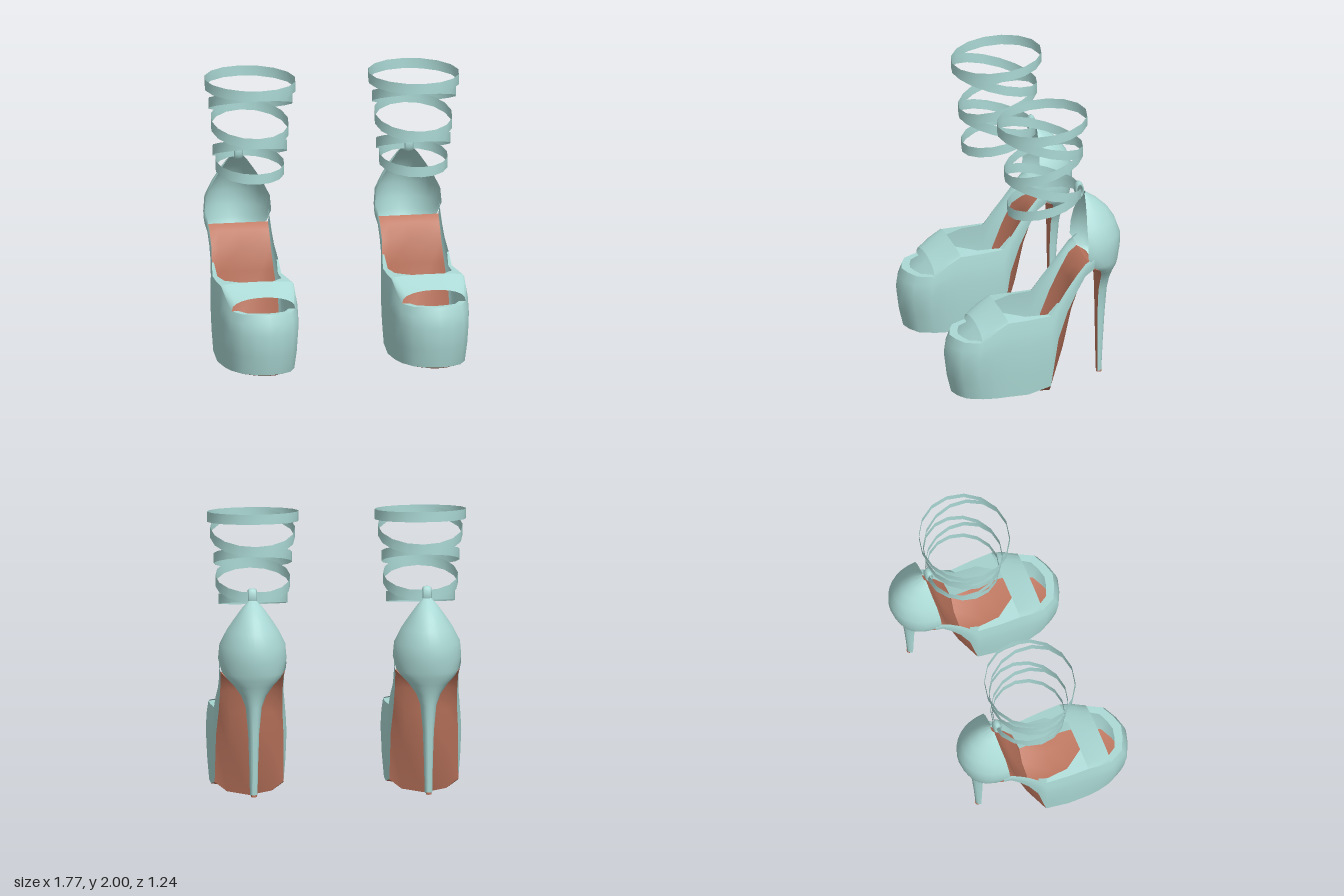
import * as THREE from 'three';
import { toCreasedNormals } from 'three/addons/utils/BufferGeometryUtils.js';

const teal = new THREE.MeshStandardMaterial({ color: 0xabd9d5, side: THREE.DoubleSide });
teal.name = 'pale teal leather';
const brown = new THREE.MeshStandardMaterial({ color: 0xbe765e, side: THREE.DoubleSide });
brown.name = 'terracotta sole';

// Surface through rows of points; every row has the same length
function loft(name, rows, material, crease = 0.7) {
  const n = rows[0].length, index = [];
  for (let r = 0; r < rows.length - 1; r++) {
    for (let i = 0; i < n - 1; i++) {
      const a = r * n + i, b = a + n;
      index.push(a, a + 1, b, a + 1, b + 1, b);
    }
  }
  const geo = new THREE.BufferGeometry();
  geo.setAttribute('position', new THREE.Float32BufferAttribute(rows.flat(2), 3));
  geo.setIndex(index);
  const mesh = new THREE.Mesh(toCreasedNormals(geo, crease), material);
  mesh.name = name;
  return mesh;
}

// Half outline of the upper, from heel to toe: x, z, bottom y, top y
const outline = [
  [0.230, -0.38, 0.912, 1.00], [0.224, -0.32, 0.865, 0.955], [0.222, -0.26, 0.755, 0.88],
  [0.226, -0.19, 0.61, 0.785], [0.240, -0.125, 0.43, 0.695], [0.256, -0.07, 0.09, 0.61],
  [0.268, 0.10, 0.05, 0.60], [0.270, 0.25, 0.05, 0.595], [0.262, 0.34, 0.045, 0.54],
  [0.237, 0.44, 0.04, 0.455], [0.180, 0.55, 0.035, 0.45], [0.090, 0.595, 0.03, 0.45],
  [0, 0.62, 0.03, 0.45],
];
// Wall bulge: height fraction and scale
const bulge = [[0, 0.92], [0.3, 0.97], [0.65, 1], [0.85, 0.98], [1, 0.94]];

// The bulge is halved along the arch
function wallPoint([x, z, yb, yt], t, s, side = 1) {
  const sx = z < -0.1 ? (1 + s) / 2 : s;
  return [side * x * sx, yb + (yt - yb) * t, z > 0 ? z * s : z];
}

function upper() {
  const g = new THREE.Group();
  g.name = 'upper';
  const full = [
    ...outline.map((p) => [p, 1]),
    ...outline.slice(0, -1).reverse().map((p) => [p, -1]),
  ];
  g.add(loft('platformWall', bulge.map(([t, s]) => full.map(([p, d]) => wallPoint(p, t, s, d))), teal));

  // Rim around the front of the toe opening
  const rim = full.filter(([p]) => p[1] >= 0.44).map(([p, d]) => wallPoint(p, 1, 0.94, d));
  g.add(loft('toeRim', [rim, rim.map(([x, y, z]) => [x * 0.78, y, 0.41 + (z - 0.41) * 0.65])], teal));

  // Band over the foot, between the side walls
  const crown = [0.617, 0.58, 0.54];
  const rows = outline.slice(7, 10).map((p, k) => {
    const [w, y, z] = wallPoint(p, 1, 0.94);
    return Array.from({ length: 13 }, (_, i) => {
      const a = (i / 12) * Math.PI;
      return [w * Math.cos(a), y + (crown[k] - y) * Math.pow(Math.sin(a), 0.8), z];
    });
  });
  g.add(loft('vamp', rows, teal));

  // Collar turning inward at each side of the foot opening
  const inner = [[0.22, 0.695, -0.12], [0.212, 0.612, -0.05], [0.20, 0.608, 0.10], [0.105, 0.615, 0.24]];
  for (const d of [1, -1]) {
    const outer = outline.slice(4, 8).map((p) => wallPoint(p, 1, 0.94, d));
    g.add(loft('collar', [outer, inner.map(([x, y, z]) => [d * x, y, z])], teal));
  }
  return g;
}

// Heel sections: y, half width, back z, front z
const heelLevels = [
  [0.07, 0.026, -0.492, -0.46], [0.30, 0.031, -0.503, -0.457], [0.50, 0.038, -0.515, -0.455],
  [0.68, 0.055, -0.53, -0.457], [0.76, 0.085, -0.545, -0.46], [0.83, 0.135, -0.568, -0.455],
  [0.88, 0.185, -0.59, -0.435], [0.915, 0.213, -0.60, -0.385], [1.00, 0.234, -0.616, -0.335],
  [1.10, 0.225, -0.617, -0.34], [1.20, 0.175, -0.582, -0.345], [1.28, 0.122, -0.53, -0.355],
  [1.35, 0.072, -0.455, -0.362], [1.40, 0.027, -0.378, -0.366],
];

// One continuous underside: front of the heel post, over the arch, down to the toe
function sole() {
  // Centre line from arch to toe: z, y
  const centre = [
    [-0.38, 0.912], [-0.325, 0.87], [-0.268, 0.765], [-0.26, 0.60], [-0.20, 0.30], [-0.09, 0.0],
    [0.10, 0.03], [0.23, 0.03], [0.31, 0.03], [0.40, 0.025], [0.50, 0.02], [0.54, 0.02], [0.57, 0.03],
  ];
  const across = [[-1, 0], [-0.65, 0.7], [0, 1], [0.65, 0.7], [1, 0]];
  const post = heelLevels.slice(0, 7).map(([y, w, , f]) => across.map(([u]) => [w * u, y, f]));
  const rows = outline.map((p, k) => across.map(([u, m]) => {
    const [x, y, z] = wallPoint(p, 0, 0.92);
    return [x * u, y + (centre[k][1] - y) * m, z + (centre[k][0] - z) * m];
  }));
  return loft('sole', [...post, ...rows], brown, 0.8);
}

function heel() {
  const g = new THREE.Group();
  g.name = 'heel';
  const rows = heelLevels.map(([y, w, b, f]) => Array.from({ length: 17 }, (_, i) => {
    const a = (i / 16) * Math.PI;
    return [w * Math.cos(a), y, f + (b - f) * Math.sin(a)];
  }));
  g.add(loft('heelCupAndPost', rows, teal, 1));
  const tip = new THREE.Mesh(new THREE.CylinderGeometry(0.02, 0.02, 0.014, 10), brown);
  tip.name = 'heelTip';
  tip.position.set(0, 0.067, -0.476);
  g.add(tip);
  return g;
}

function straps() {
  const g = new THREE.Group();
  g.name = 'ankleStraps';
  // back y, front y, back z, front z, half width
  const bands = [
    [1.42, 1.31, -0.34, 0.16, 0.236], [1.415, 1.56, -0.35, 0.18, 0.256],
    [1.735, 1.56, -0.36, 0.18, 0.268], [1.735, 1.90, -0.36, 0.23, 0.29],
    [1.965, 1.90, -0.39, 0.23, 0.313],
  ];
  for (const [yb, yf, zb, zf, w] of bands) {
    const rows = [-0.035, 0.035].map((h) => Array.from({ length: 17 }, (_, i) => {
      const a = (i / 16) * Math.PI * 2, t = (1 - Math.cos(a)) / 2;
      return [w * Math.sin(a), yb + (yf - yb) * t + h, zb + (zf - zb) * t];
    }));
    g.add(loft('strapBand', rows, teal));
  }
  return g;
}

function strapLoop() {
  const geo = new THREE.TorusGeometry(0.04, 0.013, 8, 14);
  geo.rotateY(Math.PI / 2).scale(2.4, 1.15, 0.6);
  const loop = new THREE.Mesh(geo, teal);
  loop.name = 'strapLoop';
  loop.position.set(0, 1.42, -0.335);
  return loop;
}

export function createModel() {
  const model = new THREE.Group();
  model.name = 'platformHeels';
  for (const side of [1, -1]) {
    const shoe = new THREE.Group();
    shoe.name = side > 0 ? 'leftShoe' : 'rightShoe';
    const wrap = straps();
    wrap.position.x = -0.024 * side;
    shoe.add(upper(), sole(), heel(), wrap, strapLoop());
    shoe.position.x = 0.597 * side;
    model.add(shoe);
  }
  return model;
}
